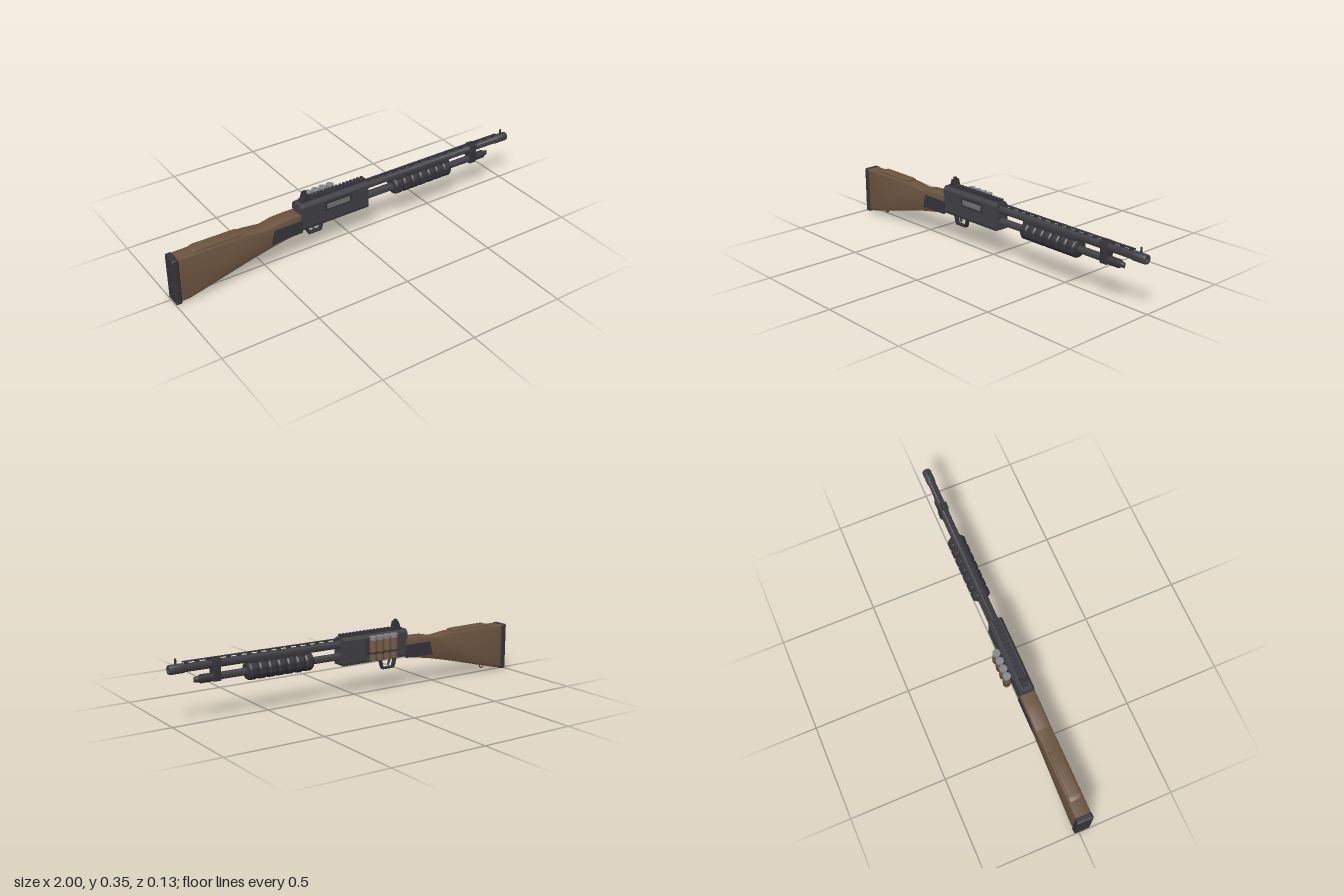
import * as THREE from 'three';
import { toCreasedNormals } from 'three/addons/utils/BufferGeometryUtils.js';
import { RoundedBoxGeometry } from 'three/addons/geometries/RoundedBoxGeometry.js';

const mat = (name, color) => {
  const m = new THREE.MeshStandardMaterial({ color });
  m.name = name;
  return m;
};

export function createModel() {
  const steel = mat('dark steel', 0x414146);
  const black = mat('black polymer', 0x35353a);
  const wood = mat('brown wood', 0x6b543f);
  const hull = mat('shell brown', 0x745a43);
  const silver = mat('dull silver', 0x83878a);
  const boltGrey = mat('bolt grey', 0x70756f);

  const root = new THREE.Group();
  root.name = 'shotgun';
  const gun = new THREE.Group();
  gun.name = 'gunCentreline';
  gun.position.z = 0.018;
  root.add(gun);

  const add = (name, geo, m, x = 0, y = 0, z = 0) => {
    const mesh = new THREE.Mesh(geo, m);
    mesh.name = name;
    mesh.position.set(x, y, z);
    gun.add(mesh);
    return mesh;
  };
  // Box given by its x, y and z ranges
  const box = (name, m, x0, x1, y0, y1, z0, z1) =>
    add(name, new THREE.BoxGeometry(x1 - x0, y1 - y0, z1 - z0), m, (x0 + x1) / 2, (y0 + y1) / 2, (z0 + z1) / 2);
  // Turned part along x, profile as [x, radius]
  const turned = (name, m, y, pts, seg = 28) => {
    const g = new THREE.LatheGeometry(pts.map(([x, r]) => new THREE.Vector2(r, x)), seg);
    g.rotateZ(-Math.PI / 2);
    return add(name, toCreasedNormals(g, 0.6), m, 0, y);
  };
  const shapeOf = pts => new THREE.Shape(pts.map(p => new THREE.Vector2(...p)));
  // Side profile in x and y, extruded across z with an inset bevel
  const slab = (name, m, shape, width, bevel = 0, z = 0) => {
    const g = new THREE.ExtrudeGeometry(shape, {
      depth: width - 2 * bevel, bevelEnabled: bevel > 0, bevelSize: bevel,
      bevelThickness: bevel, bevelOffset: -bevel, bevelSegments: 2, curveSegments: 16,
    });
    g.translate(0, 0, -width / 2 + bevel);
    return add(name, toCreasedNormals(g, 0.5), m, 0, 0, z);
  };
  // Cross-section in z and y, extruded along x
  const beam = (name, m, pts, x0, x1) => {
    const g = new THREE.ExtrudeGeometry(shapeOf(pts), { depth: x1 - x0, bevelEnabled: false });
    g.rotateY(Math.PI / 2);
    return add(name, g, m, x0);
  };

  // Stock, cheek rest and butt pad
  slab('stock', wood, shapeOf([
    [-0.97, 0.012], [-0.93, 0.013], [-0.875, 0.027], [-0.59, 0.1], [-0.47, 0.127], [-0.31, 0.155],
    [-0.31, 0.252], [-0.37, 0.254], [-0.445, 0.251], [-0.51, 0.237], [-0.61, 0.249], [-0.97, 0.249],
  ]), 0.08, 0.009);
  slab('cheekRest', wood, shapeOf([
    [-0.89, 0.235], [-0.63, 0.235], [-0.63, 0.256], [-0.65, 0.26], [-0.87, 0.262], [-0.89, 0.255],
  ]), 0.06, 0.004);
  add('buttPad', new RoundedBoxGeometry(0.034, 0.25, 0.084, 3, 0.009), black, -0.983, 0.126);
  for (let i = 0; i < 4; i++)
    box('padGroove', steel, -1, -0.998, 0.05 + i * 0.045, 0.065 + i * 0.045, -0.022, 0.022);
  const stud = add('slingStud', new THREE.TorusGeometry(0.011, 0.003, 8, 16), steel, -0.86, 0.026);
  stud.scale.z = 1.5;

  // Receiver, tang plates and bottom flange
  beam('receiver', steel, [
    [-0.037, 0.166], [0.037, 0.166], [0.037, 0.286], [0.025, 0.302], [-0.025, 0.302], [-0.037, 0.286],
  ], -0.32, 0.08);
  box('bottomFlange', black, -0.31, 0.08, 0.161, 0.172, -0.039, 0.039);
  const tang = shapeOf([[-0.485, 0.148], [-0.31, 0.152], [-0.31, 0.22], [-0.465, 0.22]]);
  for (const s of [-1, 1]) slab('tangPlate', black, tang, 0.006, 0, s * 0.04);

  // Ejection port with bolt
  box('portFrame', black, -0.18, -0.02, 0.226, 0.277, 0.034, 0.039);
  box('bolt', boltGrey, -0.167, -0.035, 0.237, 0.264, 0.036, 0.041);

  // Top rail with teeth
  box('rail', black, -0.3, 0.07, 0.3, 0.307, -0.017, 0.017);
  for (let i = 0; i < 15; i++) {
    const x = -0.235 + i * 0.0212;
    box('railTooth', black, x, x + 0.012, 0.305, 0.316, -0.017, 0.017);
  }

  // Rear sight with aperture and side wings
  box('sightBase', black, -0.295, -0.245, 0.302, 0.313, -0.018, 0.018);
  const leaf = shapeOf([[-0.008, 0.305], [0.008, 0.305], [0.008, 0.355], [-0.008, 0.355]]);
  leaf.holes.push(new THREE.Path().absarc(0, 0.342, 0.005, 0, Math.PI * 2, true));
  const leafGeo = new THREE.ExtrudeGeometry(leaf, { depth: 0.012, bevelEnabled: false });
  leafGeo.rotateY(Math.PI / 2);
  add('sightAperture', leafGeo, black, -0.276);
  const wing = shapeOf([[-0.292, 0.305], [-0.248, 0.305], [-0.26, 0.345], [-0.278, 0.345]]);
  for (const s of [-1, 1]) slab('sightWing', black, wing, 0.004, 0, s * 0.0155);

  // Barrel with open muzzle, rib and front sight
  turned('barrel', steel, 0.266, [
    [0.06, 0.02], [0.92, 0.02], [0.925, 0.023], [0.995, 0.023], [1, 0.021], [1, 0.015], [0.9, 0.015], [0.9, 0],
  ]);
  box('rib', black, 0.08, 0.93, 0.293, 0.298, -0.006, 0.006);
  for (let i = 0; i < 16; i++) {
    const x = 0.09 + i * 0.054;
    box('ribPost', black, x, x + 0.02, 0.28, 0.295, -0.005, 0.005);
  }
  box('frontSight', black, 0.96, 0.968, 0.283, 0.315, -0.003, 0.003);

  // Magazine tube and slotted cap
  turned('magazineTube', steel, 0.204, [[0.06, 0.018], [0.82, 0.018], [0.82, 0]]);
  turned('magazineCap', black, 0.203, [
    [0.79, 0], [0.79, 0.021], [0.845, 0.021], [0.85, 0.015], [0.858, 0.015], [0.868, 0.012], [0.874, 0.006], [0.875, 0],
  ]);
  box('capSlot', steel, 0.86, 0.876, 0.19, 0.216, -0.002, 0.002);

  // Barrel clamp
  slab('barrelClamp', black, shapeOf([
    [0.745, 0.184], [0.785, 0.184], [0.785, 0.292], [0.745, 0.292],
  ]), 0.05, 0.006);

  // Ribbed pump
  const ribs = [[0.247, 0], [0.247, 0.036]];
  const pitch = 0.358 / 7;
  for (let i = 0; i < 7; i++) {
    const x = 0.247 + i * pitch;
    ribs.push([x + 0.004, 0.042], [x + 0.011, 0.047], [x + pitch - 0.011, 0.047], [x + pitch - 0.004, 0.042]);
  }
  ribs.push([0.605, 0.036], [0.605, 0]);
  turned('pump', black, 0.207, ribs, 32);
  box('pumpTop', black, 0.255, 0.598, 0.22, 0.257, -0.024, 0.024);
  for (const s of [-1, 1]) box('actionBar', steel, 0.07, 0.26, 0.198, 0.21, s * 0.022 - 0.003, s * 0.022 + 0.003);

  // Trigger guard and trigger
  const guard = shapeOf([[-0.275, 0.165], [-0.262, 0.115], [-0.255, 0.102], [-0.185, 0.102], [-0.18, 0.112], [-0.165, 0.165]]);
  guard.holes.push(new THREE.Path([[-0.262, 0.16], [-0.178, 0.16], [-0.19, 0.111], [-0.25, 0.111]]
    .map(p => new THREE.Vector2(...p))));
  slab('triggerGuard', black, guard, 0.02);
  slab('trigger', steel, shapeOf([
    [-0.24, 0.165], [-0.236, 0.14], [-0.226, 0.119], [-0.22, 0.121], [-0.227, 0.142], [-0.225, 0.165],
  ]), 0.009);

  // Side shell holder with four shells
  box('holderPlate', black, -0.24, -0.06, 0.2, 0.28, -0.044, -0.035);
  const rim = [[0, 0.278], [0.0175, 0.278], [0.0175, 0.292], [0.02, 0.293], [0.02, 0.298], [0, 0.298]];
  for (let i = 0; i < 4; i++) {
    const x = -0.214 + i * 0.043, z = -0.064;
    add('shellHull', new THREE.CylinderGeometry(0.0185, 0.0185, 0.105, 20), hull, x, 0.2275, z);
    add('shellHead', toCreasedNormals(
      new THREE.LatheGeometry(rim.map(p => new THREE.Vector2(...p)), 20), 0.6), silver, x, 0, z);
    add('shellLoop', new THREE.CylinderGeometry(0.0205, 0.0205, 0.01, 20), black, x, 0.214, z);
  }
  return root;
}
